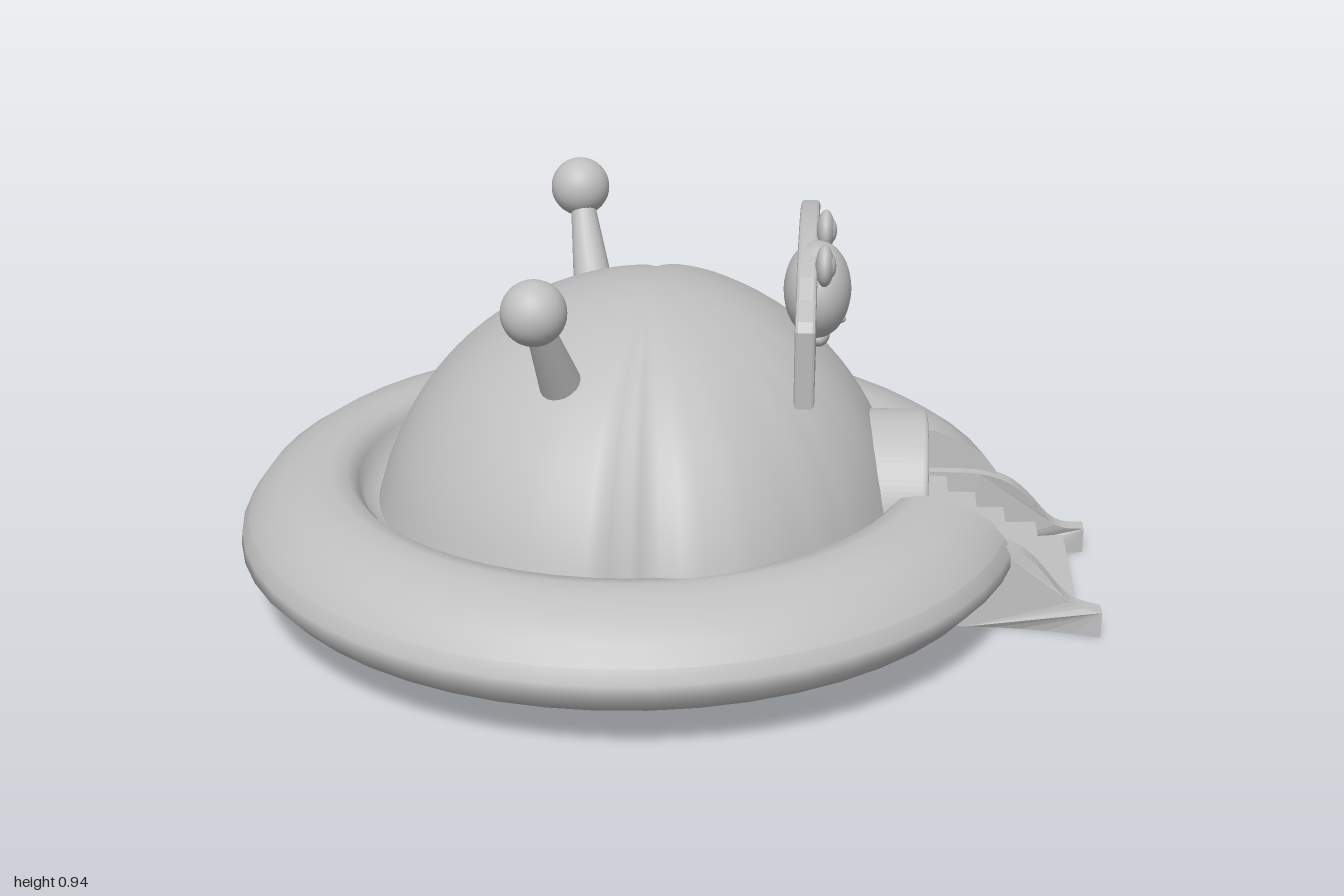
import * as THREE from 'three';
import { mergeVertices } from 'three/addons/utils/BufferGeometryUtils.js';

const grey = new THREE.MeshStandardMaterial({ color: 0xc0c0c0, side: THREE.DoubleSide });
grey.name = 'light grey';

function add(parent, name, geometry, x = 0, y = 0, z = 0) {
  const mesh = new THREE.Mesh(geometry, grey);
  mesh.name = name;
  mesh.position.set(x, y, z);
  parent.add(mesh);
  return mesh;
}

// Grid surface from point(s, t) with s and t from 0 to 1
function surface(ns, nt, point) {
  const pos = [], index = [];
  for (let j = 0; j <= nt; j++)
    for (let i = 0; i <= ns; i++) pos.push(...point(i / ns, j / nt));
  for (let j = 0; j < nt; j++)
    for (let i = 0; i < ns; i++) {
      const a = j * (ns + 1) + i, c = a + ns + 1;
      index.push(a, a + 1, c, a + 1, c + 1, c);
    }
  const geo = new THREE.BufferGeometry();
  geo.setAttribute('position', new THREE.Float32BufferAttribute(pos, 3));
  geo.setIndex(index);
  const merged = mergeVertices(geo, 1e-5);
  merged.computeVertexNormals();
  return merged;
}

function lookup(table, v) {
  const k = Math.max(1, table.findIndex(p => p[0] >= v));
  const [a, b] = [table[k - 1], table[k]];
  return THREE.MathUtils.lerp(a[1], b[1], (v - a[0]) / (b[0] - a[0]));
}

function tube(points, radius) {
  const path = new THREE.CurvePath();
  const p = points.map(([x, y]) => new THREE.Vector3(x, y, 0));
  for (let i = 1; i < p.length; i++) path.add(new THREE.LineCurve3(p[i - 1], p[i]));
  return new THREE.TubeGeometry(path, points.length * 6, radius, 8);
}

const CX = -0.09, GAP = 0.2;

// Saucer: swept profile with a straight-sided gap for the stairs
const RIM = [[0.58, 0.24], [0.62, 0.24], [0.635, 0.285], [0.66, 0.313], [0.7, 0.32], [0.75, 0.315],
  [0.81, 0.293], [0.86, 0.26], [0.89, 0.22]];
const HULL = [[0.89, 0.22], [0.907, 0.19], [0.91, 0.16], [0.87, 0.115], [0.76, 0.065], [0.6, 0.035],
  [0.35, 0.024], [0, 0.02]];

function sweep(profile) {
  return surface(48, profile.length - 1, (s, t) => {
    const [r, y] = profile[Math.round(t * (profile.length - 1))];
    const g = r < 0.57 ? 0 : Math.asin(GAP / r);
    const a = g + s * 2 * (Math.PI - g);
    const x = CX + r * Math.cos(a);
    return [x, y < 0.1 ? y - 0.015 * x : y, r * Math.sin(a)];
  });
}

function buildSaucer(parent) {
  add(parent, 'rim', sweep(RIM));
  add(parent, 'hull', sweep(HULL));
  const outline = [...RIM, ...HULL.slice(1, 6)].map(([r, y]) =>
    new THREE.Vector2(CX + Math.sqrt(r * r - GAP * GAP), y));
  for (const side of [1, -1])
    add(parent, 'rimEnd', new THREE.ShapeGeometry(new THREE.Shape(outline)), 0, 0, side * GAP);
}

// Dome: spherical cap with a groove across it and a bulging front half
function buildDome(parent) {
  const radii = [[0, 0.56], [25, 0.57], [40, 0.585], [53, 0.61], [68, 0.655], [79, 0.675], [86, 0.65],
    [90, 0.605], [92, 0.61], [97, 0.645], [110, 0.645], [140, 0.63], [180, 0.615]];
  add(parent, 'dome', surface(180, 28, (s, t) => {
    const deg = s * 360, a = s * Math.PI * 2;
    const u = t * 1.03, r = u * lookup(radii, deg > 180 ? 360 - deg : deg);
    const y = 0.093 + Math.sqrt(0.657 ** 2 - (0.62 * u) ** 2);
    return [-0.04 + r * Math.cos(a), y, r * Math.sin(a)];
  }));
}

function buildAntennae(parent) {
  for (const side of [1, -1]) {
    const base = new THREE.Vector3(-0.205, 0.6, side * 0.335);
    const tip = new THREE.Vector3(-0.25, 0.83, side * 0.47);
    const dir = tip.clone().sub(base);
    const stalk = add(parent, 'antennaStalk', new THREE.CylinderGeometry(0.025, 0.05, dir.length(), 20));
    stalk.position.copy(base).addScaledVector(dir, 0.5);
    stalk.quaternion.setFromUnitVectors(new THREE.Vector3(0, 1, 0), dir.normalize());
    add(parent, 'antennaBall', new THREE.SphereGeometry(0.071, 28, 18), tip.x, tip.y, tip.z);
  }
}

// Entrance arch, threshold, steps and flared side walls
function buildEntrance(parent) {
  const arch = new THREE.Shape();
  arch.moveTo(0.205, 0.16);
  arch.lineTo(0.205, 0.23);
  arch.absarc(0, 0.23, 0.205, 0, Math.PI);
  arch.lineTo(-0.205, 0.16);
  arch.lineTo(-0.17, 0.16);
  arch.lineTo(-0.17, 0.23);
  arch.absarc(0, 0.23, 0.17, Math.PI, 0, true);
  arch.lineTo(0.17, 0.16);
  add(parent, 'entranceArch', new THREE.ExtrudeGeometry(arch, { depth: 0.13, curveSegments: 24,
    bevelThickness: 0.012, bevelSize: 0.01, bevelOffset: -0.01, bevelSegments: 3 }), 0.46).rotation.y = Math.PI / 2;
  add(parent, 'threshold', new THREE.BoxGeometry(0.2, 0.2, 0.39), 0.51, 0.12, 0);

  const edges = [0.6, 0.66, 0.73, 0.8, 0.88, 0.95];
  for (let i = 0; i < 5; i++) {
    const h = 0.21 - i * 0.04, w = edges[i + 1] - edges[i];
    add(parent, 'step', new THREE.BoxGeometry(w, h - 0.01, 0.37 + 0.008 * i), edges[i] + w / 2, h / 2 + 0.005, 0);
  }

  const wall = new THREE.Shape();
  wall.moveTo(0.58, 0.003);
  for (let i = 0; i <= 7; i++) wall.lineTo(0.58 + i * 0.06, 0.003);
  wall.lineTo(1, 0.065);
  wall.lineTo(0.96, 0.07);
  wall.bezierCurveTo(0.9, 0.08, 0.89, 0.14, 0.82, 0.19);
  wall.quadraticCurveTo(0.77, 0.22, 0.7, 0.22);
  wall.lineTo(0.58, 0.22);
  for (const side of [1, -1]) {
    const geo = new THREE.ExtrudeGeometry(wall, { depth: 0.042, bevelEnabled: false, curveSegments: 10 });
    const p = geo.attributes.position;
    for (let i = 0; i < p.count; i++) {
      const flare = 0.035 * (Math.max(0, p.getX(i) - 0.75) / 0.25) ** 2;
      p.setZ(i, side * (p.getZ(i) - 0.021) + side * (0.194 + flare));
    }
    if (side < 0) // keep corners in outward order after mirroring
      for (let i = 0; i < p.count; i += 3) {
        const b = new THREE.Vector3().fromBufferAttribute(p, i + 1);
        const c = new THREE.Vector3().fromBufferAttribute(p, i + 2);
        p.setXYZ(i + 1, c.x, c.y, c.z);
        p.setXYZ(i + 2, b.x, b.y, b.z);
      }
    geo.computeVertexNormals();
    add(parent, 'stairWall', geo);
  }
}

// Sign, built facing +z and then turned to face +x
function buildSign(parent) {
  const sign = new THREE.Group();
  sign.name = 'sign';
  sign.rotation.y = Math.PI / 2;
  parent.add(sign);

  const board = new THREE.Shape();
  board.moveTo(-0.36, 0.585);
  board.quadraticCurveTo(0, 0.715, 0.37, 0.585);
  board.lineTo(0.385, 0.595);
  board.lineTo(0.413, 0.765);
  board.lineTo(0.4, 0.785);
  board.lineTo(0.335, 0.81);
  board.lineTo(0.325, 0.85);
  board.quadraticCurveTo(0, 0.935, -0.27, 0.855);
  board.lineTo(-0.29, 0.81);
  board.lineTo(-0.36, 0.785);
  board.lineTo(-0.375, 0.765);
  add(sign, 'signBoard', new THREE.ExtrudeGeometry(board, { depth: 0.031, curveSegments: 20,
    bevelThickness: 0.007, bevelSize: 0.01, bevelOffset: -0.01, bevelSegments: 2 }), 0, 0, 0.302);

  const ball = (name, x, y, z, rx, ry, rz) =>
    add(sign, name, new THREE.SphereGeometry(1, 28, 18), x, y, z).scale.set(rx, ry, rz);
  ball('bearHead', -0.13, 0.782, 0.34, 0.112, 0.108, 0.075);
  ball('bearChin', -0.115, 0.672, 0.345, 0.05, 0.026, 0.025);
  ball('bearNose', -0.12, 0.71, 0.39, 0.016, 0.01, 0.015);
  for (const [x, y] of [[-0.222, 0.866], [-0.067, 0.898]]) {
    ball('bearEar', x, y, 0.355, 0.046, 0.046, 0.02);
    ball('innerEar', x, y, 0.368, 0.026, 0.026, 0.012);
  }

  // Shopping cart in relief
  const cart = new THREE.Group();
  cart.name = 'cart';
  cart.position.z = 0.347;
  sign.add(cart);
  add(cart, 'cartFrame', tube([[0.035, 0.867], [0.08, 0.857], [0.122, 0.728], [0.235, 0.706]], 0.009));
  add(cart, 'cartBasket', tube([[0.095, 0.838], [0.262, 0.805], [0.238, 0.73], [0.122, 0.753]], 0.009));
  add(cart, 'basketRow', tube([[0.11, 0.797], [0.248, 0.768]], 0.007));
  for (let i = 1; i < 4; i++)
    add(cart, 'basketBar', tube([[0.095 + i * 0.042, 0.838 - i * 0.008], [0.122 + i * 0.029, 0.753 - i * 0.006]], 0.007));
  for (const [x, y] of [[0.11, 0.697], [0.205, 0.683]])
    add(cart, 'cartWheel', new THREE.CylinderGeometry(0.023, 0.023, 0.035, 20), x, y, 0.005).rotation.x = Math.PI / 2;
}

export function createModel() {
  const model = new THREE.Group();
  model.name = 'saucerShop';
  buildSaucer(model);
  buildDome(model);
  buildAntennae(model);
  buildEntrance(model);
  buildSign(model);
  return model;
}
